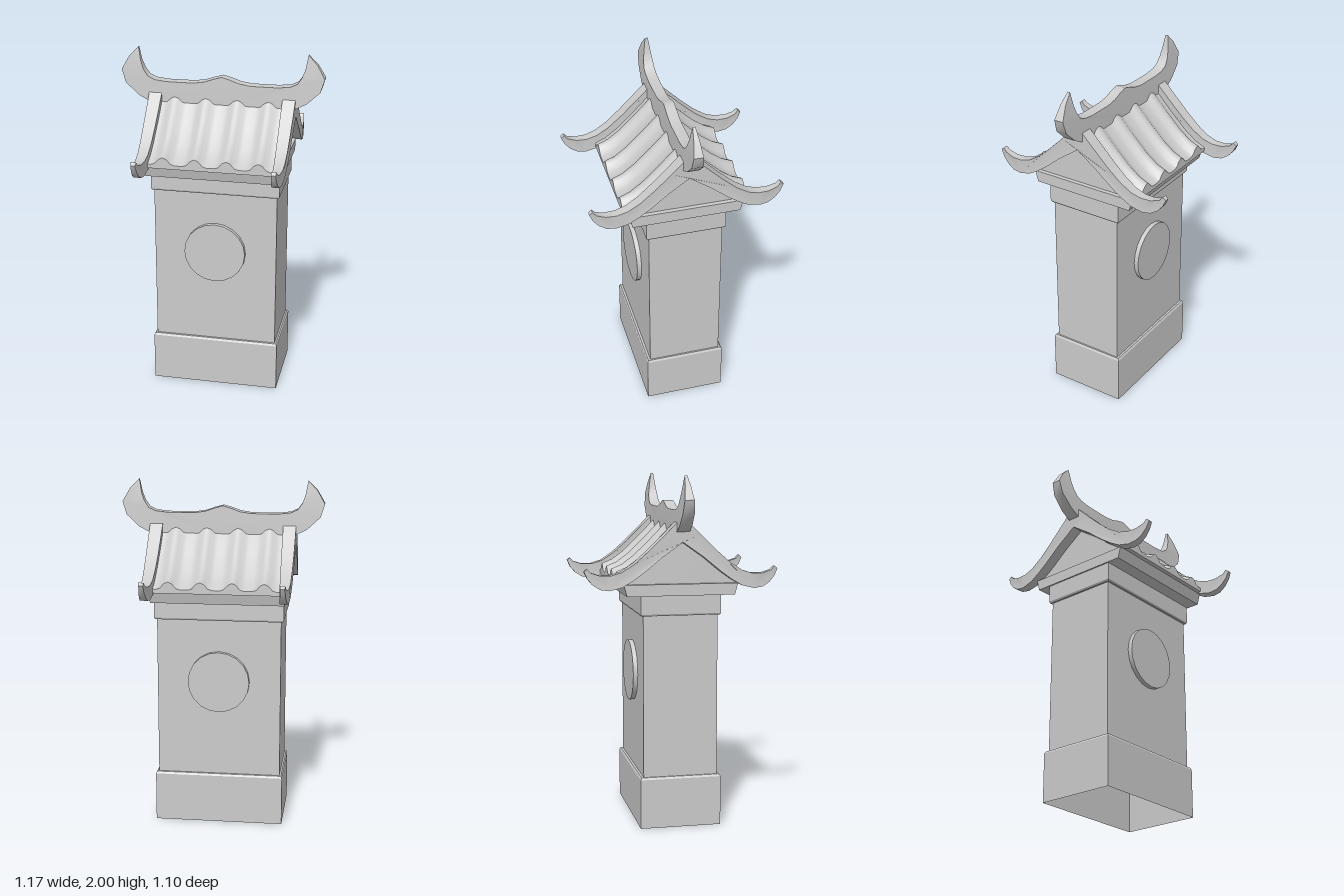
import * as THREE from 'three';
import { toCreasedNormals } from 'three/addons/utils/BufferGeometryUtils.js';

const grey = () => new THREE.MeshStandardMaterial({ color: 0xcccccc, side: THREE.DoubleSide });

function part(name, geometry, crease = 0.6) {
  const mesh = new THREE.Mesh(toCreasedNormals(geometry, crease), grey());
  mesh.name = name;
  return mesh;
}

// Rectangular cross-sections [half x, y, half z], joined from bottom to top
function rectLoft(rings) {
  const pos = [], idx = [];
  for (const [x, y, z] of rings) pos.push(x, y, z, x, y, -z, -x, y, -z, -x, y, z);
  for (let r = 0; r < rings.length - 1; r++) {
    for (let i = 0; i < 4; i++) {
      const a = r * 4 + i, b = r * 4 + (i + 1) % 4;
      idx.push(a, b, b + 4, a, b + 4, a + 4);
    }
  }
  return indexed(pos, idx);
}

function indexed(pos, idx) {
  const g = new THREE.BufferGeometry();
  g.setAttribute('position', new THREE.Float32BufferAttribute(pos, 3));
  g.setIndex(idx);
  g.computeVertexNormals();
  return g;
}

// Mirrored outline extruded to a slab of half thickness 1, then thinned by a rule
function taperedSlab(half, thickness) {
  const mirrored = half.filter(p => p[0] > 0).reverse().map(([u, v]) => [-u, v]);
  const shape = new THREE.Shape([...half, ...mirrored].map(p => new THREE.Vector2(...p)));
  const g = new THREE.ExtrudeGeometry(shape, { depth: 2, bevelEnabled: false });
  g.translate(0, 0, -1);
  const p = g.attributes.position;
  for (let i = 0; i < p.count; i++) p.setZ(i, p.getZ(i) * thickness(p.getX(i), p.getY(i)));
  return g;
}

// Wavy tile sheet running over the ridge from eave to eave
function tileSheet() {
  const slope = [[0.35, 1.4, 0], [0.35, 1.43, 0.036], [0.29, 1.457, 0.034], [0.22, 1.51, 0.032],
    [0.125, 1.603, 0.03], [0.035, 1.697, 0.028]];
  const rows = [...slope.map(([z, y, a]) => [-z, y, a]), [0, 1.73, 0.028], ...slope.slice().reverse()];
  const cols = 32, pos = [], idx = [];
  rows.forEach(([z, y, a], r) => {
    for (let c = 0; c <= cols; c++) {
      const x = -0.36 + 0.72 * c / cols;
      const wave = Math.max(-0.2, Math.cos((x - 0.09) / 0.18 * Math.PI * 2));
      pos.push(x, y + a * wave, z);
      if (r < rows.length - 1 && c < cols) {
        const k = r * (cols + 1) + c, n = k + cols + 1;
        idx.push(k, n, k + 1, n, n + 1, k + 1);
      }
    }
  });
  return indexed(pos, idx);
}

export function createModel() {
  const model = new THREE.Group();
  model.name = 'roofedPillar';

  // Plinth, shaft and cornice, hollow and open below
  model.add(part('plinth', rectLoft([
    [0.373, 0, 0.233], [0.373, 0.285, 0.233], [0.366, 0.297, 0.226], [0.357, 0.297, 0.213]]), 0.1));
  model.add(part('shaft', rectLoft([[0.357, 0.297, 0.213], [0.357, 1.222, 0.213]]), 0.1));
  model.add(part('cornice', rectLoft([
    [0.357, 1.222, 0.213], [0.366, 1.222, 0.224], [0.372, 1.232, 0.229], [0.372, 1.335, 0.229],
    [0.38, 1.335, 0.307], [0.38, 1.4, 0.325], [0, 1.4, 0]]), 0.1));

  // Round plaques on front and back
  for (const side of [1, -1]) {
    const disc = new THREE.CylinderGeometry(0.178, 0.178, 0.03, 20);
    disc.rotateX(Math.PI / 2).translate(0, 0.86, side * 0.224);
    model.add(part(side > 0 ? 'frontPlaque' : 'backPlaque', disc));
  }

  // Gable block under the tiles
  const gable = taperedSlab([[0, 1.4], [0.35, 1.4], [0.35, 1.415], [0.22, 1.49], [0.125, 1.58], [0, 1.7]],
    () => 0.355);
  model.add(part('gable', gable.rotateY(Math.PI / 2)));
  model.add(part('roofTiles', tileSheet(), 0.8));

  // Curved ribs along both gable ends, thinning towards the upturned tips
  const ribOutline = [[0, 1.635], [0.12, 1.55], [0.22, 1.468], [0.28, 1.425], [0.34, 1.39], [0.41, 1.373],
    [0.46, 1.38], [0.5, 1.405], [0.53, 1.44], [0.548, 1.48], [0.53, 1.495], [0.51, 1.473], [0.46, 1.457],
    [0.4, 1.457], [0.34, 1.475], [0.27, 1.52], [0.19, 1.59], [0.1, 1.678], [0, 1.778]];
  for (const side of [1, -1]) {
    const rib = taperedSlab(ribOutline, z => 0.037 * Math.sqrt(1 - (z / 0.58) ** 2));
    rib.rotateY(Math.PI / 2).translate(side * 0.385, 0, 0);
    model.add(part(side > 0 ? 'leftRib' : 'rightRib', rib));
  }

  // Ridge beam with horned ends, thinning upwards
  const ridgeOutline = [[0, 1.692], [0.42, 1.692], [0.485, 1.725], [0.56, 1.795], [0.583, 1.87],
    [0.54, 1.945], [0.486, 2], [0.472, 1.92], [0.455, 1.873], [0.43, 1.837], [0.39, 1.818], [0.32, 1.81],
    [0.165, 1.81], [0.1, 1.82], [0.05, 1.838], [0, 1.852]];
  model.add(part('ridge', taperedSlab(ridgeOutline, (x, y) =>
    y < 1.85 ? 0.037 - (y - 1.69) * 0.045 : 0.03 - (y - 1.85) * 0.15)));

  return model;
}
